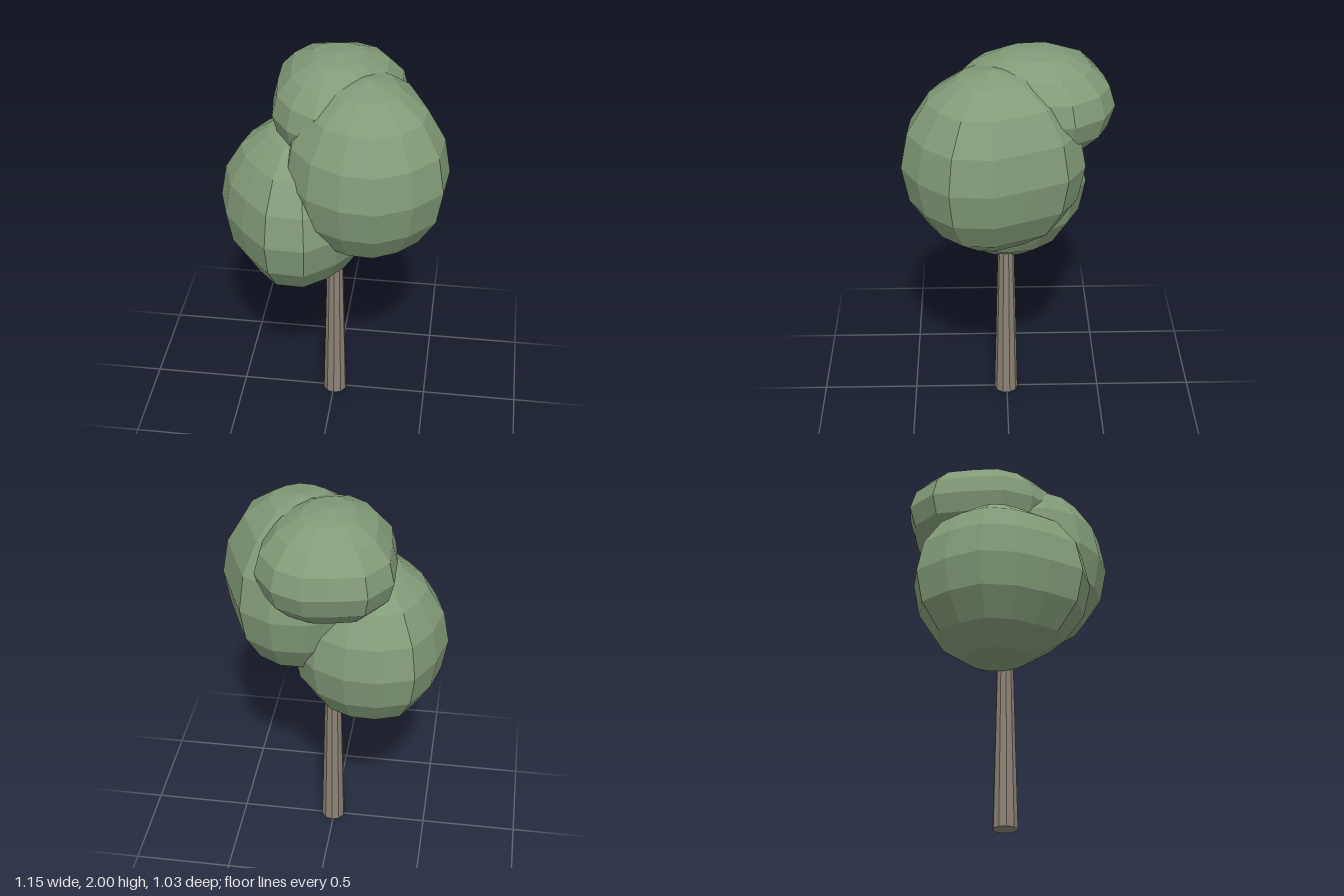
import * as THREE from 'three';

const COLUMNS = 14, RINGS = 8;

export function createModel() {
  const group = new THREE.Group();
  const leafGreen = new THREE.MeshStandardMaterial({ color: 0x829b78, flatShading: true });
  leafGreen.name = 'leafGreen';
  const barkBrown = new THREE.MeshStandardMaterial({ color: 0x8c8274, flatShading: true });
  barkBrown.name = 'barkBrown';

  // Tapered trunk reaching into the foliage
  const trunk = new THREE.Mesh(new THREE.CylinderGeometry(0.042, 0.063, 0.9, 10), barkBrown);
  trunk.name = 'trunk';
  trunk.position.set(0.005, 0.45, 0.005);
  group.add(trunk);

  // Lumpy ellipsoid: each column of the sphere is pushed in or out sideways.
  // Columns run from -x through the front (+z) to +x and round the back.
  function addFoliage(name, centre, radii, bulge) {
    const geometry = new THREE.SphereGeometry(1, COLUMNS, RINGS);
    const p = geometry.attributes.position;
    for (let i = 0; i < p.count; i++) {
      const k = bulge[(i % (COLUMNS + 1)) % COLUMNS];
      p.setXYZ(i, p.getX(i) * radii[0] * k, p.getY(i) * radii[1], p.getZ(i) * radii[2] * k);
    }
    geometry.computeVertexNormals();
    const mesh = new THREE.Mesh(geometry, leafGreen);
    mesh.name = name;
    mesh.position.set(...centre);
    group.add(mesh);
  }

  addFoliage('leftFoliage', [0.17, 1.495, 0.07], [0.4, 0.467, 0.45],
    [1, 1.03, 1, 0.98, 1.01, 1.015, 1.07, 1.01, 0.91, 1, 1.01, 1, 1, 1]);
  addFoliage('rightFoliage', [-0.185, 1.225, 0], [0.4, 0.437, 0.44],
    [0.985, 0.935, 0.925, 1.07, 1.09, 1, 1, 1, 1, 0.97, 0.95, 0.965, 1.03, 0.97]);
  addFoliage('topFoliage', [0.005, 1.73, -0.12], [0.33, 0.27, 0.4],
    [0.985, 1.015, 1.01, 1.02, 1, 1, 1, 1.02, 1.11, 1.09, 1.03, 0.98, 1.1, 1.11]);

  return group;
}
